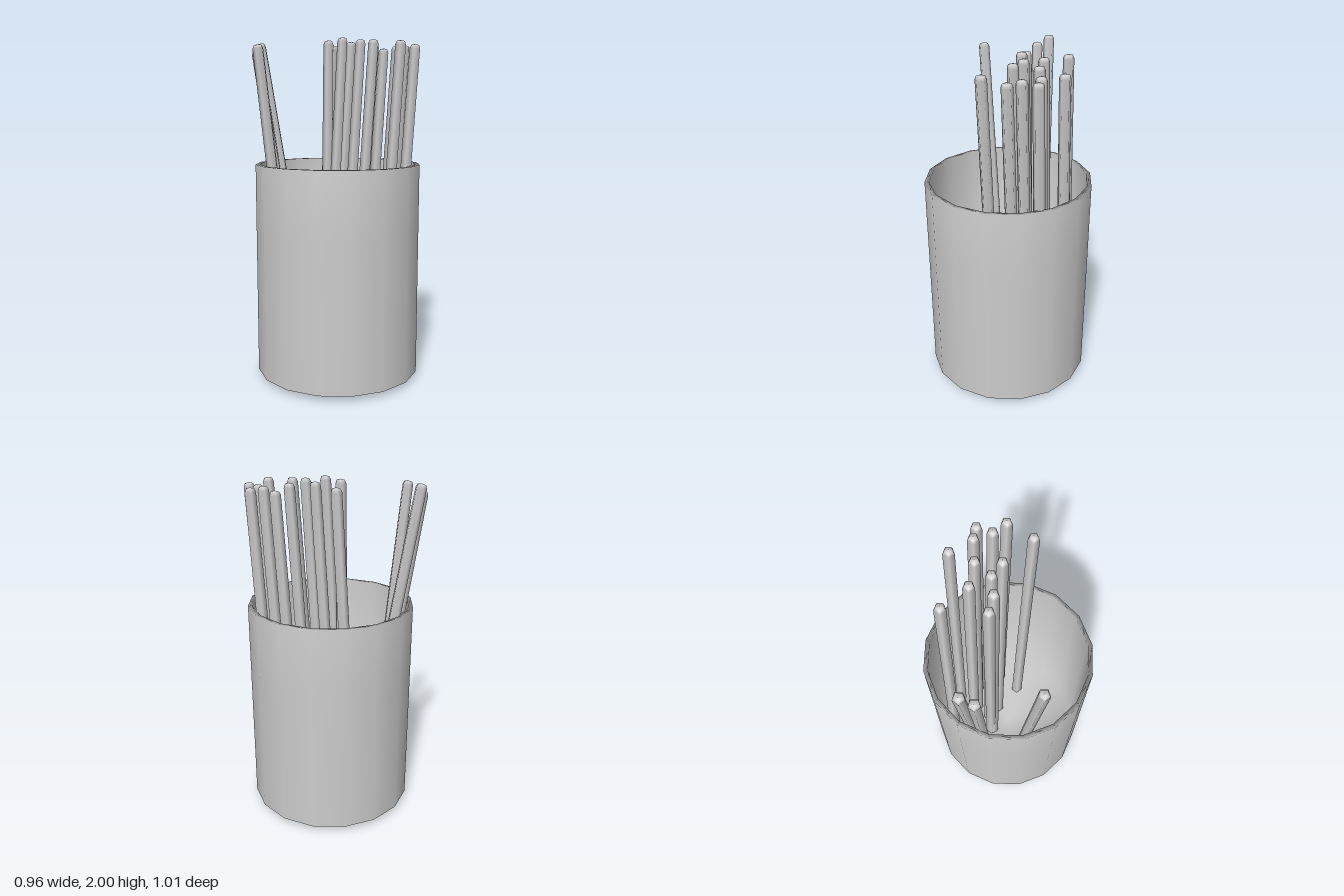
import * as THREE from 'three';

const grey = new THREE.MeshStandardMaterial({ color: 0xcccccc });
grey.name = 'plain grey';

const lathe = (points, sides) =>
  new THREE.LatheGeometry(points.map(([r, y]) => new THREE.Vector2(r, y)), sides);

function addMesh(parent, name, geometry) {
  const mesh = new THREE.Mesh(geometry, grey);
  mesh.name = name;
  parent.add(mesh);
  return mesh;
}

// Five-sided, slightly tapered stick with blunt rounded ends, leaning from base to tip
function addStick(parent, [tx, ty, tz, bx, by, bz]) {
  const base = new THREE.Vector3(bx, by, bz);
  const axis = new THREE.Vector3(tx, ty, tz).sub(base);
  const len = axis.length();
  const stick = addMesh(parent, 'stick', lathe([
    [0, 0], [0.031, 0.003], [0.036, 0.012],
    [0.032, len - 0.025], [0.024, len - 0.006], [0, len],
  ], 5));
  stick.position.copy(base);
  stick.quaternion.setFromUnitVectors(new THREE.Vector3(0, 1, 0), axis.normalize());
}

// Tip x, y, z, then base x, y, z
const sticks = [
  [-0.155, 1.935, -0.46, 0.0, 0.01, -0.22],
  [-0.09, 1.98, -0.485, 0.075, 0.03, -0.22],
  [-0.385, 1.94, -0.24, -0.185, 0.005, -0.145],
  [0.245, 1.975, -0.18, 0.22, 0.01, -0.295],
  [0.045, 1.985, -0.07, 0.055, 0.03, -0.1],
  [0.075, 2.0, 0.01, 0.045, 0.03, -0.09],
  [0.2, 1.985, -0.015, 0.175, 0.03, -0.135],
  [0.145, 1.99, 0.09, 0.125, 0.03, -0.03],
  [0.145, 1.985, 0.18, 0.11, 0.03, 0.06],
  [0.26, 1.975, 0.11, 0.235, 0.02, -0.015],
  [0.4, 1.955, 0.09, 0.375, 0.015, -0.03],
  [0.345, 1.96, 0.215, 0.315, 0.01, 0.1],
  [0.375, 1.95, 0.28, 0.35, 0.01, 0.17],
  [0.29, 1.955, 0.3, 0.26, 0.01, 0.18],
  [0.265, 1.955, 0.385, 0.24, 0.01, 0.265],
  [0.105, 1.965, 0.385, 0.085, 0.03, 0.26],
];

export function createModel() {
  const model = new THREE.Group();
  model.name = 'cup of sticks';

  // Sixteen-sided cup: outer wall, softened rim, inner wall and floor
  const cup = new THREE.Group();
  cup.name = 'cup';
  cup.position.z = 0.027;
  model.add(cup);
  addMesh(cup, 'cupWall', lathe([
    [0.48, 0.035], [0.48, 0.9], [0.48, 1.27], [0.455, 1.27], [0.455, 0.06], [0, 0.06],
  ], 16));
  const bottom = addMesh(cup, 'cupBottom', new THREE.CircleGeometry(0.48, 16));
  bottom.rotation.x = Math.PI / 2;
  bottom.position.y = 0.035;

  // Loose bundle of sticks
  const bundle = new THREE.Group();
  bundle.name = 'sticks';
  model.add(bundle);
  for (const s of sticks) addStick(bundle, s);

  return model;
}
